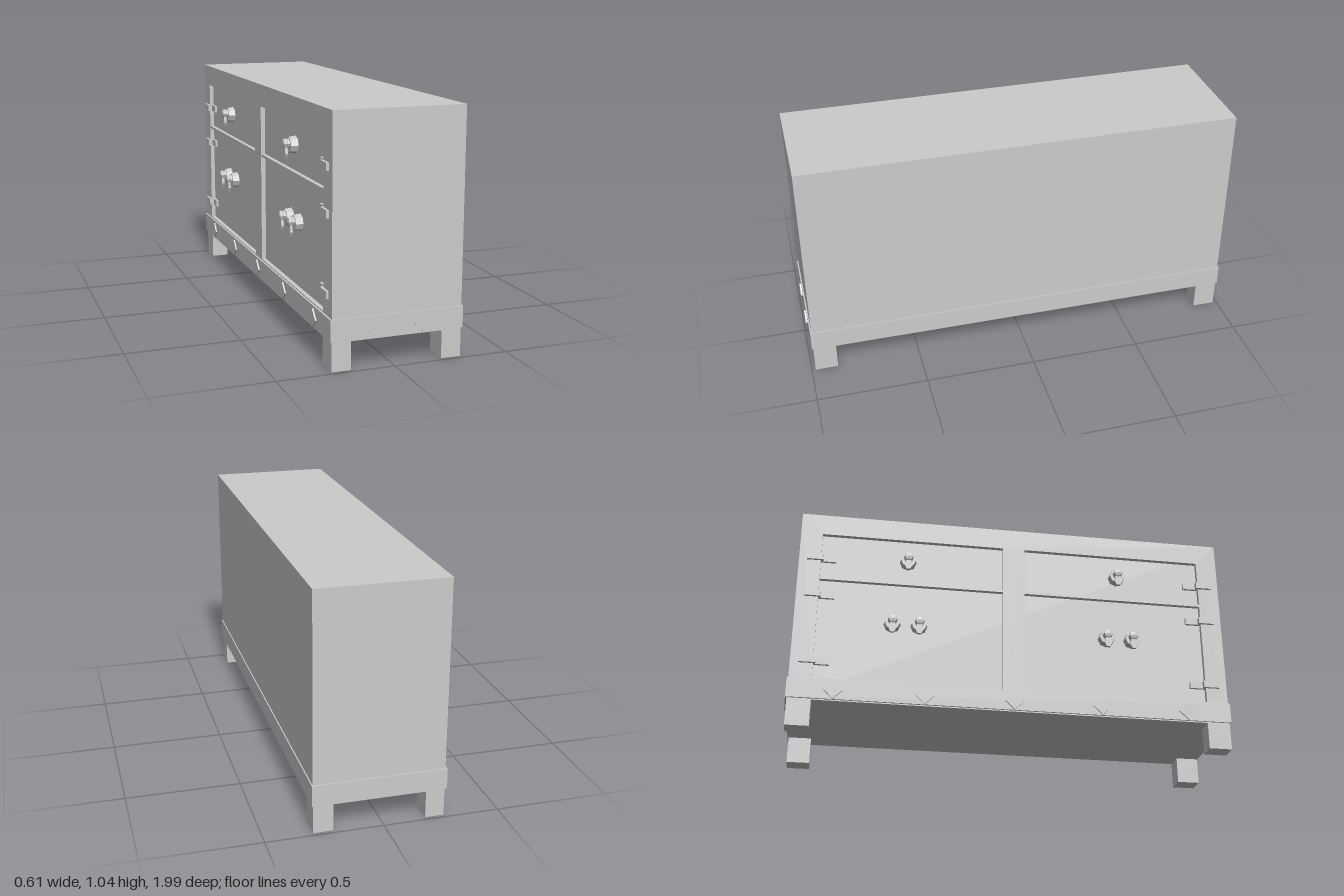
import * as THREE from 'three';

const mat = new THREE.MeshStandardMaterial({ color: 0xcccccc, flatShading: true });

function add(parent, name, geo, x = 0, y = 0, z = 0) {
  const m = new THREE.Mesh(geo, mat);
  m.name = name;
  m.position.set(x, y, z);
  parent.add(m);
  return m;
}

// Box given by its limits on each axis
function block(parent, name, x0, x1, y0, y1, z0, z1) {
  return add(parent, name, new THREE.BoxGeometry(x1 - x0, y1 - y0, z1 - z0),
    (x0 + x1) / 2, (y0 + y1) / 2, (z0 + z1) / 2);
}

function rect(S, x0, x1, y0, y1) {
  const s = new S();
  s.moveTo(x0, y0);
  s.lineTo(x1, y0);
  s.lineTo(x1, y1);
  s.lineTo(x0, y1);
  s.closePath();
  return s;
}

// Flat diamond facing +z
function diamond(parent, x, y, z) {
  const g = new THREE.CylinderGeometry(0.041, 0.041, 0.012, 4);
  g.rotateX(Math.PI / 2);
  add(parent, 'diamondOrnament', g, x, y, z);
}

// Door pull facing +z: back plate, domed knob and hanging drop
function pull(parent, x, y, z) {
  const g = new THREE.Group();
  g.name = 'pull';
  g.position.set(x, y, z);
  const plate = new THREE.CylinderGeometry(0.034, 0.038, 0.032, 8);
  plate.rotateX(Math.PI / 2);
  add(g, 'backPlate', plate, 0, 0, 0.016);
  const profile = [[0.022, 0.03], [0.018, 0.04], [0.022, 0.047], [0.018, 0.056], [0, 0.06]]
    .map(p => new THREE.Vector2(...p));
  const knob = new THREE.LatheGeometry(profile, 8);
  knob.rotateX(Math.PI / 2);
  add(g, 'knob', knob, 0, 0.007, 0);
  const s = new THREE.Shape();
  s.moveTo(-0.009, 0.005);
  s.lineTo(-0.017, -0.038);
  s.lineTo(-0.008, -0.056);
  s.lineTo(0.008, -0.056);
  s.lineTo(0.017, -0.038);
  s.lineTo(0.009, 0.005);
  s.closePath();
  add(g, 'drop', new THREE.ExtrudeGeometry(s, { depth: 0.012, bevelEnabled: false }), 0, 0, 0.04);
  parent.add(g);
}

export function createModel() {
  const root = new THREE.Group();
  root.name = 'sideboard';
  const L = 0.983;

  // Carcass, base band and feet
  block(root, 'carcass', -0.245, 0.297, 0.12, 1.04, -L, L);
  block(root, 'baseBand', -0.273, 0.302, 0.125, 0.217, -0.989, 0.989);
  for (const s of [-1, 1]) {
    const z0 = s > 0 ? 0.88 : -L, z1 = s > 0 ? L : -0.88;
    block(root, 'foot', -0.265, -0.184, 0, 0.122, z0, z1);
    block(root, 'foot', 0.211, 0.297, 0, 0.122, z0, z1);
  }

  // Diamonds on both ends
  for (const s of [-1, 1])
    for (const x of [-0.09, 0.122]) diamond(root, x, 0.172, s * 0.991);

  // Door side: local x runs along the length, local z points outward
  const face = new THREE.Group();
  face.name = 'doorSide';
  face.rotation.y = -Math.PI / 2;
  root.add(face);

  // Face frame with two openings
  const frame = rect(THREE.Shape, -L, L, 0.12, 1.04);
  frame.holes.push(rect(THREE.Path, -0.885, -0.05, 0.222, 0.94));
  frame.holes.push(rect(THREE.Path, 0.05, 0.885, 0.222, 0.94));
  add(face, 'faceFrame', new THREE.ExtrudeGeometry(frame, { depth: 0.02, bevelEnabled: false }), 0, 0, 0.245);

  for (const s of [-1, 1]) {
    // Thin rail between drawer and doors
    const c = s * 0.4675;
    block(face, 'drawerRail', c - 0.4175, c + 0.4175, 0.708, 0.72, 0.24, 0.264);

    // Pulls: one on the drawer, a pair on the doors
    pull(face, s * 0.49, 0.832, 0.245);
    for (const d of [-0.06, 0.06]) pull(face, s * 0.49 + d, 0.51, 0.245);

    // Stepped hinges at the outer edge
    for (const y of [0.818, 0.632, 0.307]) {
      const span = (a, b, z0, z1) => block(face, 'hinge',
        Math.min(s * a, s * b), Math.max(s * a, s * b), y - 0.016, y + 0.016, z0, z1);
      span(0.874, 0.947, 0.264, 0.277);
      span(0.874, 0.884, 0.244, 0.27);
      span(0.815, 0.876, 0.244, 0.257);
    }
  }

  // Row of diamonds along the band
  for (let i = -2; i <= 2; i++) diamond(face, i * 0.395, 0.166, 0.274);

  return root;
}
